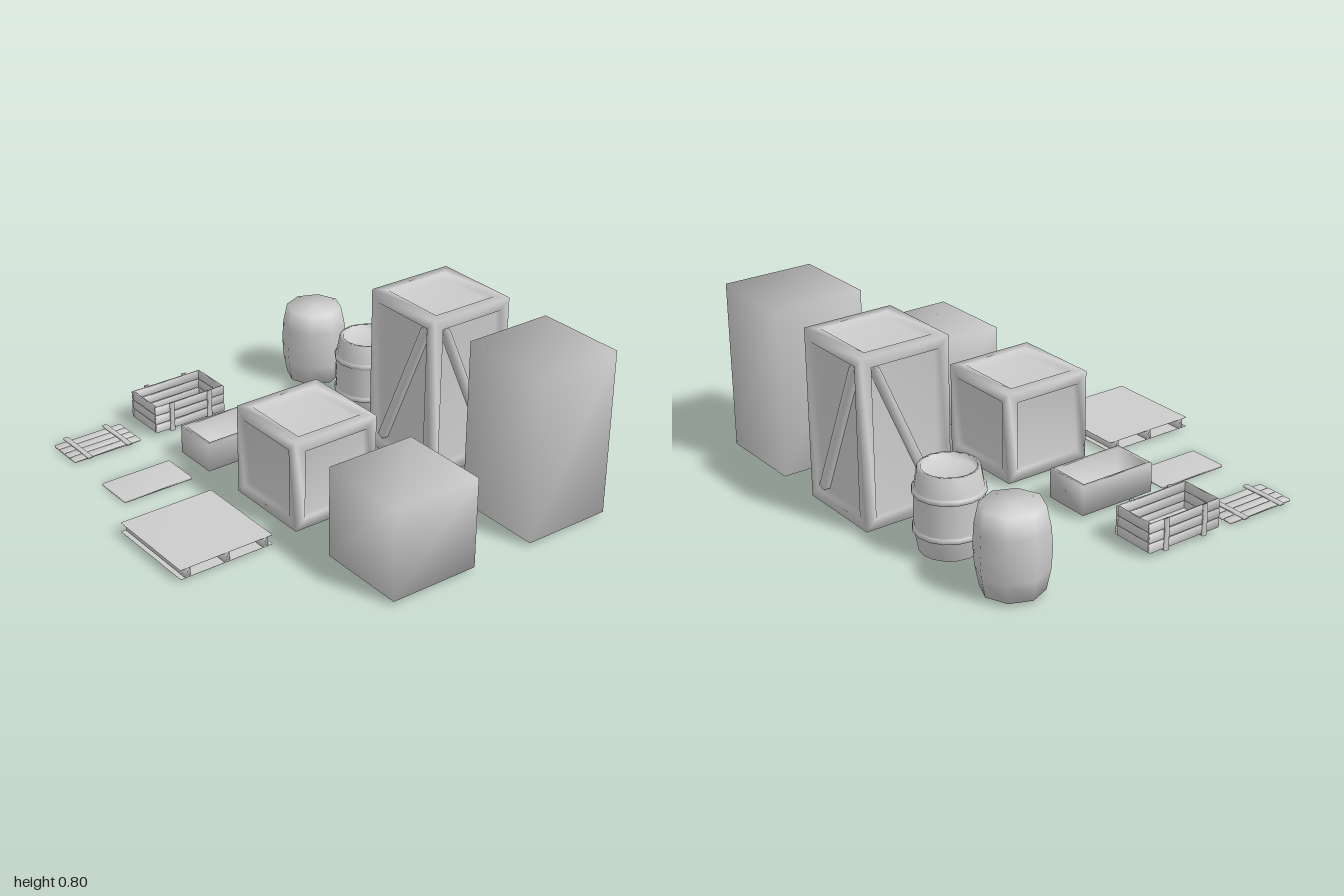
import * as THREE from 'three';
import { mergeVertices } from 'three/addons/utils/BufferGeometryUtils.js';

const material = new THREE.MeshStandardMaterial({ color: 0xcccccc });

// Shares corners so the shading runs smoothly across edges
function smooth(geometry) {
  geometry.deleteAttribute('uv');
  geometry.deleteAttribute('normal');
  const merged = mergeVertices(geometry);
  merged.computeVertexNormals();
  return merged;
}

function add(parent, name, geometry, x = 0, y = 0, z = 0) {
  const mesh = new THREE.Mesh(smooth(geometry), material);
  mesh.name = name;
  mesh.position.set(x, y, z);
  parent.add(mesh);
  return mesh;
}

function addGroup(parent, name, x, y, z) {
  const group = new THREE.Group();
  group.name = name;
  group.position.set(x, y, z);
  parent.add(group);
  return group;
}

const box = (w, h, d) => new THREE.BoxGeometry(w, h, d);

// Box whose faces can be sunk inside a rim; depthOf(axis, sign) gives the sink depth
function recessedBox(size, rim, depthOf) {
  const positions = [];
  const quad = (a, b, c, d) => positions.push(...a, ...b, ...c, ...a, ...c, ...d);
  for (let axis = 0; axis < 3; axis++) {
    for (const sign of [1, -1]) {
      let u = (axis + 1) % 3, v = (axis + 2) % 3;
      if (sign < 0) [u, v] = [v, u];
      const loop = (inset, depth) => [[-1, -1], [1, -1], [1, 1], [-1, 1]].map(([a, b]) => {
        const p = [0, 0, 0];
        p[axis] = sign * (size[axis] / 2 - depth);
        p[u] = a * (size[u] / 2 - inset);
        p[v] = b * (size[v] / 2 - inset);
        return p;
      });
      const depth = depthOf(axis, sign);
      const loops = depth ? [loop(0, 0), loop(rim, 0), loop(rim, depth)] : [loop(0, 0)];
      for (let k = 0; k + 1 < loops.length; k++) {
        for (let i = 0; i < 4; i++) {
          const j = (i + 1) % 4;
          quad(loops[k][i], loops[k][j], loops[k + 1][j], loops[k + 1][i]);
        }
      }
      quad(...loops[loops.length - 1]);
    }
  }
  const geometry = new THREE.BufferGeometry();
  geometry.setAttribute('position', new THREE.Float32BufferAttribute(positions, 3));
  return geometry;
}

const lathe = (points, sides) =>
  new THREE.LatheGeometry(points.map(([r, y]) => new THREE.Vector2(r, y)), sides);

const SIDE = 0.434, RIM = 0.05, SINK = 0.035;

// Framed crate, optionally with a diagonal brace on each side
function framedCrate(parent, name, x, z, height, braced) {
  const crate = addGroup(parent, name, x, 0.015 + height / 2, z);
  add(crate, 'frameAndPanels', recessedBox([SIDE, height, SIDE], RIM, () => SINK));
  if (!braced) return;
  const w = SIDE - 2 * RIM, h = height - 2 * RIM;
  for (let i = 0; i < 4; i++) {
    const side = addGroup(crate, 'braceSide', 0, 0, 0);
    side.rotation.y = i * Math.PI / 2;
    const brace = add(side, 'brace', box(0.036, Math.hypot(w, h) - 0.055, SINK), 0, 0, SIDE / 2 - SINK / 2 - 0.003);
    brace.rotation.z = (i % 2 ? -1 : 1) * Math.atan2(w - 0.036, h);
  }
}

function slattedCrate(parent) {
  const crate = addGroup(parent, 'slattedCrate', -0.113, 0, -0.868);
  const w = 0.385, d = 0.216, t = 0.012;
  for (let i = 0; i < 5; i++) add(crate, 'floorSlat', box(w - t, t, 0.037), 0, 0.028, (i - 2) * 0.043);
  for (let row = 0; row < 3; row++) {
    const y = 0.043 + row * 0.046;
    for (const s of [-1, 1]) {
      add(crate, 'longSlat', box(w, 0.04, t), 0, y, s * (d / 2 - t / 2));
      add(crate, 'endSlat', box(t, 0.04, d - 2 * t), s * (w / 2 - t / 2), y, 0);
    }
  }
  for (const x of [-0.106, 0.106]) {
    for (const s of [-1, 1]) add(crate, 'sideBatten', box(0.022, 0.147, 0.01), x, 0.0865, s * (d / 2 + 0.003));
    add(crate, 'floorBatten', box(0.022, 0.01, d), x, 0.018, 0);
  }
}

function slattedLid(parent) {
  const lid = addGroup(parent, 'slattedLid', -0.567, 0, -0.868);
  for (let i = 0; i < 4; i++) add(lid, 'lidSlat', box(0.355, 0.01, 0.042), 0, 0.008, (i - 1.5) * 0.048);
  for (const x of [-0.106, 0.106]) add(lid, 'lidBatten', box(0.022, 0.01, 0.228), x, 0.018, 0);
}

function pallet(parent) {
  const p = addGroup(parent, 'pallet', -0.662, 0, 0.113);
  for (const y of [0.0135, 0.0585]) add(p, 'palletSheet', box(0.465, 0.004, 0.465), 0, y, 0);
  for (const x of [-0.197, 0, 0.197]) add(p, 'stringer', box(0.03, 0.041, 0.46), x, 0.036, 0);
}

export function createModel() {
  const model = new THREE.Group();
  model.name = 'cratesAndBarrels';

  // Plain and framed crates
  const tall = 0.787, low = 0.43;
  add(model, 'plainLowCrate', box(SIDE, low, SIDE), -0.076, 0.015 + low / 2, 0.781);
  add(model, 'plainTallCrate', box(SIDE, tall, SIDE), 0.671, 0.015 + tall / 2, 0.781);
  framedCrate(model, 'framedLowCrate', -0.076, 0.113, low, false);
  framedCrate(model, 'framedTallCrate', 0.671, 0.113, tall, true);

  pallet(model);

  // Open box and its flat lid
  add(model, 'openBox', recessedBox([0.385, 0.138, 0.226], 0.018,
    (axis, sign) => (axis === 1 && sign > 0 ? 0.12 : 0)), -0.113, 0.088, -0.432);
  add(model, 'flatLid', box(0.357, 0.01, 0.193), -0.567, 0.005, -0.432);

  slattedCrate(model);
  slattedLid(model);

  // Hooped barrel with sunken ends
  add(model, 'hoopedBarrel', lathe([
    [0, 0.045], [0.117, 0.045], [0.117, 0.015], [0.133, 0.015],
    [0.148, 0.1], [0.156, 0.103], [0.158, 0.113], [0.156, 0.125], [0.15, 0.128],
    [0.153, 0.2],
    [0.15, 0.273], [0.156, 0.276], [0.158, 0.286], [0.156, 0.298], [0.148, 0.301],
    [0.133, 0.387], [0.117, 0.387], [0.117, 0.357], [0, 0.357],
  ], 16), 0.68, 0, -0.414);

  // Plain eight-sided barrel
  add(model, 'plainBarrel', lathe([
    [0, 0.015], [0.135, 0.015], [0.154, 0.108], [0.16, 0.2], [0.154, 0.295], [0.135, 0.387], [0, 0.387],
  ], 8), 0.68, 0, -0.84);

  return model;
}
